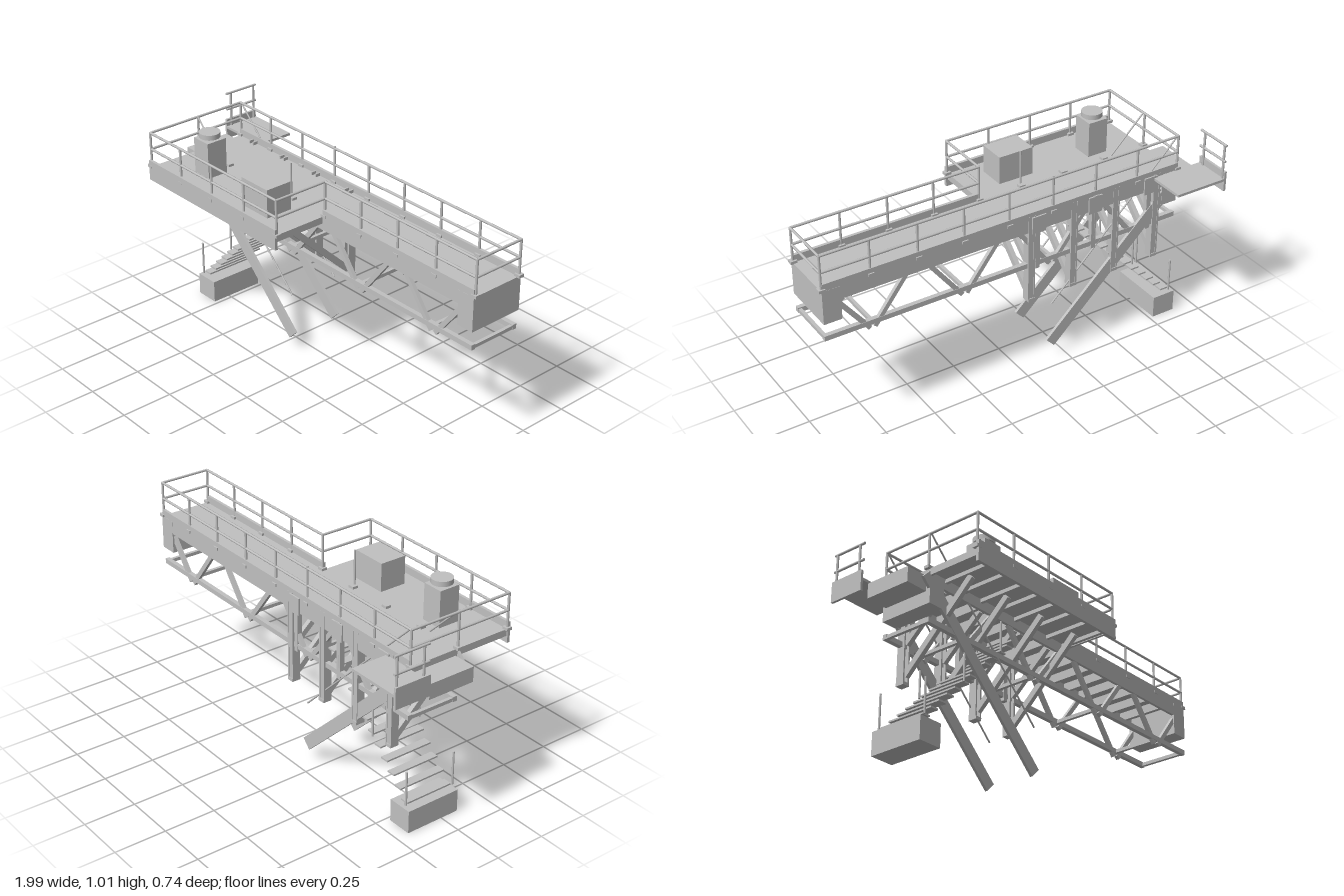
import * as THREE from 'three';

export function createModel() {
  const model = new THREE.Group();
  model.name = 'elevatedWalkway';
  const steel = new THREE.MeshStandardMaterial({ color: 0xc0c0c0 });
  steel.name = 'grey steel';

  const add = (name, geo) => {
    const m = new THREE.Mesh(geo, steel);
    m.name = name;
    model.add(m);
    return m;
  };
  // box given by its limits on each axis
  const box = (name, x0, x1, y0, y1, z0, z1) => {
    const m = add(name, new THREE.BoxGeometry(x1 - x0, y1 - y0, z1 - z0));
    m.position.set((x0 + x1) / 2, (y0 + y1) / 2, (z0 + z1) / 2);
    return m;
  };
  const aim = (m, a, b) => {
    m.position.copy(a).add(b).multiplyScalar(0.5);
    m.quaternion.setFromUnitVectors(new THREE.Vector3(0, 1, 0), b.clone().sub(a).normalize());
    return m;
  };
  const V = (p) => new THREE.Vector3(...p);
  // square bar and round tube between two points
  const bar = (name, p, q, w, d) => {
    const a = V(p), b = V(q);
    return aim(add(name, new THREE.BoxGeometry(w, a.distanceTo(b), d)), a, b);
  };
  const tube = (name, p, q, r = 0.006) => {
    const a = V(p), b = V(q);
    return aim(add(name, new THREE.CylinderGeometry(r, r, a.distanceTo(b), 8)), a, b);
  };

  const X0 = -0.86, X1 = 0.98, XM = 0.05;
  const ZB = -0.178, ZF = 0.082, ZP = 0.358;

  // decks and their edge beams
  box('mainDeck', X0, X1, 0.785, 0.8, ZB, ZF);
  box('sideDeck', X0, XM, 0.785, 0.8, ZF, ZP);
  box('backFascia', X0, X1, 0.735, 0.835, -0.186, -0.172);
  box('frontFascia', XM, X1, 0.735, 0.835, 0.075, 0.089);
  box('innerBeam', X0, XM, 0.735, 0.799, 0.075, 0.089);
  box('sideDeckFascia', X0 - 0.005, XM + 0.01, 0.735, 0.835, 0.354, 0.368);
  for (const x of [X0, XM - 0.012]) box('sideDeckEndBeam', x, x + 0.012, 0.767, 0.786, ZF, ZP);
  for (let i = 0; i < 16; i++) {
    const x = X0 + 0.1 + i * 0.112;
    box('deckJoist', x - 0.008, x + 0.008, 0.742, 0.786, ZB, ZF);
    if (x < XM) box('sideDeckJoist', x - 0.008, x + 0.008, 0.767, 0.786, ZF, ZP);
  }

  // end bearing blocks and the left connecting box
  box('rightEndBlock', 0.895, X1 + 0.002, 0.635, 0.8, -0.187, 0.09);
  box('leftEndBlock', X0, -0.775, 0.635, 0.8, -0.187, 0.09);
  box('connectingBox', -0.972, X0, 0.697, 0.77, -0.17, 0.067);

  // lower truss, both sides
  for (const z of [0.076, -0.17]) {
    box('bottomChord', X0, X1, 0.546, 0.57, z - 0.011, z + 0.011);
    for (const x of [-0.63, -0.17, 0.29, 0.75])
      for (const s of [-1, 1])
        bar('trussDiagonal', [x + s * 0.012, 0.53, z], [x + s * 0.175, 0.742, z], 0.022, 0.018);
  }
  for (const x of [-0.85, -0.63, -0.17, 0.29, 0.75, 0.97])
    box('bottomCrossBar', x - 0.008, x + 0.008, 0.548, 0.565, -0.17, 0.076);

  // rear legs as H sections with braces to the side deck
  for (let i = 0; i < 4; i++) {
    const x = -0.745 + i * 0.23;
    for (const s of [-1, 1])
      box('legFlange', x + s * 0.014 - 0.004, x + s * 0.014 + 0.004, 0.37, 0.815, -0.188, -0.147);
    box('legWeb', x - 0.012, x + 0.012, 0.37, 0.815, -0.186, -0.172);
    box('legFoot', x - 0.018, x + 0.018, 0.365, 0.38, -0.19, -0.145);
    bar('longBrace', [x, 0.408, -0.15], [x, 0.762, 0.222], 0.022, 0.03);
    bar('shortBrace', [x, 0.56, -0.15], [x, 0.745, 0.06], 0.022, 0.028);
  }
  for (const x of [-0.705, -0.395, -0.09]) {
    box('hangerPost', x - 0.012, x + 0.012, 0.53, 0.74, -0.182, -0.158);
    box('hangerPlate', x - 0.036, x + 0.036, 0.725, 0.81, -0.193, -0.184);
  }

  // railings: top rail, mid rail, posts with clamps
  const post = (x, z) => {
    tube('railPost', [x, 0.8, z], [x, 0.975, z]);
    box('postClamp', x - 0.015, x + 0.015, 0.798, 0.812, z - 0.014, z + 0.014);
  };
  const rail = (a, b) => {
    for (const y of [0.89, 0.972]) tube('handRail', [a[0], y, a[1]], [b[0], y, b[1]]);
  };
  const corners = [[X0, ZB], [X1, ZB], [X1, ZF - 0.004], [XM + 0.005, ZF - 0.004], [XM + 0.005, 0.355], [X0, 0.355]];
  corners.forEach((c, i) => {
    rail(c, corners[(i + 1) % corners.length]);
    post(...c);
  });
  post(X0, ZF - 0.004);
  for (let i = 1; i < 8; i++) {
    const x = X0 + i * 0.23;
    post(x, ZB);
    if (i > 4) post(x, ZF - 0.004);
    if (i < 4) {
      post(x, 0.355);
      box('deckClamp', x - 0.015, x + 0.015, 0.798, 0.812, 0.062, 0.09);
    }
  }

  // small landing at the back left
  box('landing', -0.99, -0.722, 0.787, 0.8, -0.37, -0.188);
  box('landingFascia', -0.998, -0.986, 0.735, 0.835, -0.37, -0.188);
  for (const y of [0.89, 0.972]) tube('landingRail', [-0.985, y, -0.188], [-0.985, y, -0.37]);
  for (const z of [-0.216, -0.356]) tube('landingPost', [-0.985, 0.8, z], [-0.985, 0.972, z]);

  // stairs: base, treads, stringers, thin handrails and posts
  box('stairBase', -0.89, -0.77, 0, 0.11, -0.186, 0.09);
  for (let i = 0; i < 14; i++) {
    const x = -0.84 + i * 0.0463, y = 0.131 + i * 0.0463;
    box('stairTread', x - 0.021, x + 0.021, y - 0.004, y + 0.004, -0.17, 0.074);
  }
  for (const z of [0.083, -0.178]) {
    bar('stringer', [-0.88, 0.767, z], [-0.168, 0.083, z], 0.06, 0.014);
    tube('stairHandrail', [-0.855, 0.975, z], [-0.172, 0.3, z], 0.004);
    for (let i = 0; i < 4; i++) {
      const x = -0.86 + i * 0.23, y = 0.125 + i * 0.23;
      tube('stairPost', [x, y, z], [x, y + 0.168, z], 0.005);
    }
  }

  // equipment on the side deck
  box('tallCabinet', -0.683, -0.58, 0.8, 0.975, 0.13, 0.235);
  const cap = add('ventCap', new THREE.CylinderGeometry(0.05, 0.05, 0.024, 32));
  cap.position.set(-0.631, 0.995, 0.183);
  tube('ventNeck', [-0.631, 0.97, 0.183], [-0.631, 0.985, 0.183], 0.035);
  box('wideCabinet', -0.277, -0.098, 0.8, 0.938, 0.146, 0.281);

  return model;
}
